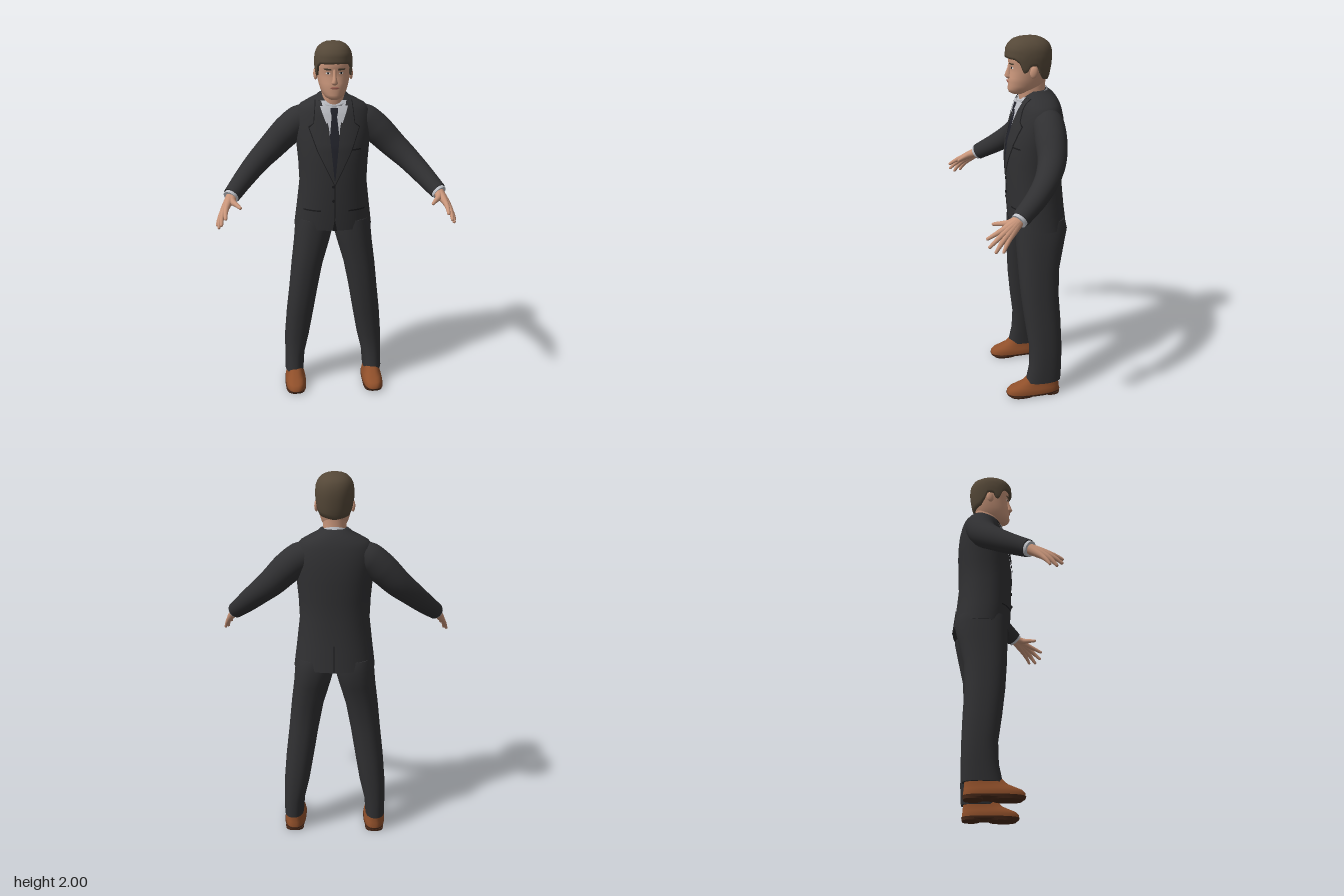
import * as THREE from 'three';

const mat = (name, color, side = THREE.FrontSide) => {
  const m = new THREE.MeshStandardMaterial({ color, side });
  m.name = name;
  return m;
};
const M = {
  suit: mat('suit cloth', 0x303032),
  seam: mat('dark seam', 0x1a1a1c, THREE.DoubleSide),
  shirt: mat('shirt', 0xbfc1c7, THREE.DoubleSide),
  tie: mat('tie', 0x22232b),
  skin: mat('skin', 0xc8957a),
  hair: mat('hair', 0x554838),
  lip: mat('lips', 0xa9685a),
  eye: mat('eye white', 0xd8d4d0),
  shoe: mat('shoe leather', 0x8f4f2a),
  sole: mat('shoe sole', 0x4a2a1a),
};

// Profiles: rows of [y, halfWidth, zFront, zBack], rising in y
const JACKET = [
  [0.98, 0.217, 0.035, -0.275], [1.10, 0.202, 0.045, -0.26], [1.24, 0.186, 0.048, -0.247],
  [1.35, 0.191, 0.048, -0.25], [1.45, 0.2, 0.04, -0.255], [1.52, 0.206, 0.023, -0.254],
  [1.58, 0.207, 0.006, -0.249], [1.63, 0.198, -0.008, -0.238], [1.66, 0.175, -0.02, -0.228],
  [1.685, 0.13, -0.032, -0.214], [1.705, 0.09, -0.045, -0.198], [1.72, 0.074, -0.06, -0.178]];
const HEAD = [
  [1.702, 0.028, 0.018, -0.10], [1.712, 0.045, 0.034, -0.12], [1.73, 0.06, 0.041, -0.14],
  [1.748, 0.069, 0.036, -0.15], [1.77, 0.076, 0.041, -0.16], [1.79, 0.081, 0.035, -0.167],
  [1.82, 0.087, 0.031, -0.172], [1.845, 0.09, 0.027, -0.175], [1.868, 0.091, 0.036, -0.175],
  [1.90, 0.091, 0.036, -0.175], [1.94, 0.085, 0.025, -0.165], [1.97, 0.055, -0.01, -0.13]];
const HAIR = [
  [1.76, 0.08, 0.04, -0.165], [1.80, 0.092, 0.045, -0.18], [1.85, 0.099, 0.05, -0.189],
  [1.90, 0.102, 0.054, -0.194], [1.94, 0.097, 0.05, -0.189], [1.965, 0.085, 0.036, -0.175],
  [1.985, 0.064, 0.012, -0.148], [1.995, 0.042, -0.02, -0.12], [2.0, 0.012, -0.055, -0.08]];

// Linear lookup in a table sorted by its first column
function lookup(table, k) {
  let i = 0;
  while (i < table.length - 2 && k > table[i + 1][0]) i++;
  const [a, b] = [table[i], table[i + 1]];
  const t = THREE.MathUtils.clamp((k - a[0]) / (b[0] - a[0]), 0, 1);
  return a.map((v, n) => v + (b[n] - v) * t);
}
const spow = (v, p) => Math.sign(v) * Math.abs(v) ** p;
function ringPoint([, hw, zf, zb], y, a, cx = 0, e = 2.2) {
  return [cx + hw * spow(Math.sin(a), 2 / e), y, (zf + zb) / 2 + ((zf - zb) / 2) * spow(Math.cos(a), 2 / e)];
}

// Surface through closed rings, with flat caps
function skinRings(rings, caps = true) {
  const n = rings[0].length, pos = rings.flat(2), idx = [];
  for (let i = 0; i < rings.length - 1; i++)
    for (let j = 0; j < n; j++) {
      const a = i * n + j, b = i * n + (j + 1) % n;
      idx.push(a, b, b + n, a, b + n, a + n);
    }
  if (caps) [rings[0], rings[rings.length - 1]].forEach((ring, top) => {
    const base = pos.length / 3;
    pos.push(...ring.flat(), ...[0, 1, 2].map(k => ring.reduce((s, p) => s + p[k], 0) / n));
    for (let j = 0; j < n; j++) {
      const a = base + j, b = base + (j + 1) % n;
      idx.push(base + n, top ? a : b, top ? b : a);
    }
  });
  return toGeometry(pos, idx);
}
function toGeometry(pos, idx) {
  const g = new THREE.BufferGeometry();
  g.setAttribute('position', new THREE.Float32BufferAttribute(pos, 3));
  g.setIndex(idx);
  g.computeVertexNormals();
  return g;
}
const angles = n => Array.from({ length: n }, (_, j) => (j / n) * Math.PI * 2);

// Upright loft; tilt lowers or raises the front of each ring
const loft = (rows, { cx = 0, e = 2.2, tilt = 0, n = 48, caps = true } = {}) =>
  skinRings(rows.map(r => angles(n).map(a =>
    ringPoint(r, r[0] + tilt * Math.cos(a), a, r[4] ?? cx, e))), caps);

// Round limb through [x, y, z, radius] points; s mirrors it
function limb(points, s, steps = 24, n = 20) {
  const path = new THREE.CatmullRomCurve3(points.map(p => new THREE.Vector3(p[0] * s, p[1], p[2])));
  const rings = [];
  for (let i = 0; i <= steps; i++) {
    const t = i / steps, c = path.getPoint(t), T = path.getTangent(t);
    const f = t * (points.length - 1), k = Math.min(Math.floor(f), points.length - 2);
    const r = THREE.MathUtils.lerp(points[k][3], points[k + 1][3], f - k);
    const N = T.clone().cross(new THREE.Vector3(0, 1, 0)).normalize(), B = T.clone().cross(N);
    rings.push(angles(n).map(a => c.clone().addScaledVector(N, r * Math.cos(a))
      .addScaledVector(B, r * Math.sin(a)).toArray()));
  }
  return skinRings(rings);
}

// Thin plate on the front of a profile; rows of [y, x0, x1], rising in y
function plate(profile, rows, lift, s = 1, cols = 8) {
  const pos = [], idx = [], fine = [];
  rows.slice(0, -1).forEach((r, i) => {
    for (let k = 0; k < 6; k++) fine.push(r.map((v, m) => v + (rows[i + 1][m] - v) * k / 6));
  });
  fine.push(rows[rows.length - 1]);
  fine.forEach(([y, p, q], i) => {
    const [x0, x1] = s > 0 ? [p, q] : [-q, -p];
    const [, hw, zf, zb] = lookup(profile, y);
    for (let j = 0; j <= cols; j++) {
      const x = x0 + (x1 - x0) * j / cols;
      const d = Math.max(0, 1 - Math.abs(x / hw) ** 2.2) ** (1 / 2.2);
      pos.push(x, y, (zf + zb) / 2 + (zf - zb) / 2 * d + lift);
      if (i && j) {
        const b = pos.length / 3 - 1, a = b - cols - 1;
        idx.push(a - 1, a, b, a - 1, b, b - 1);
      }
    }
  });
  return toGeometry(pos, idx);
}

export function createModel() {
  const model = new THREE.Group();
  model.name = 'man in suit';
  const add = (name, geo, m) => {
    const mesh = new THREE.Mesh(geo, m);
    mesh.name = name;
    model.add(mesh);
    return mesh;
  };

  // Head and neck
  add('head', loft(HEAD), M.skin);
  add('neck', loft([[1.62, 0.064, -0.03, -0.17], [1.7, 0.06, -0.018, -0.156], [1.77, 0.062, -0.015, -0.16]]), M.skin);
  add('nose', loft([[1.784, 0.011, 0.044, 0.01], [1.79, 0.017, 0.052, 0.01], [1.798, 0.016, 0.058, 0.01],
    [1.815, 0.011, 0.052, 0.01], [1.84, 0.009, 0.042, 0.01], [1.865, 0.01, 0.036, 0.01]], { e: 2, n: 20 }), M.skin);
  add('lips', plate(HEAD, [[1.762, -0.012, 0.012], [1.769, -0.026, 0.026], [1.776, -0.012, 0.012]], 0.003), M.lip);

  // Hair cap with a fringe, sideburns and a gap above each ear
  const hairline = [[0, 1.895], [0.8, 1.892], [1.05, 1.872], [1.2, 1.825], [1.38, 1.825], [1.5, 1.86],
    [1.75, 1.86], [1.9, 1.82], [2.2, 1.785], [3.15, 1.768]];
  const hairRings = [];
  for (let i = -1; i <= 14; i++)
    hairRings.push(angles(72).map(a => {
      const low = lookup(hairline, Math.min(a, Math.PI * 2 - a))[1];
      const y = low + (2 - low) * Math.sin(Math.max(i, 0) / 14 * Math.PI / 2);
      const p = ringPoint(lookup(HAIR, y), y, a);
      return i < 0 ? [p[0] * 0.82, y + 0.004, -0.07 + (p[2] + 0.07) * 0.82] : p;
    }));
  add('hair', skinRings(hairRings), M.hair);

  // Jacket body, shirt front and tie
  add('jacket', loft(JACKET), M.suit);
  add('shirtFront', plate(JACKET, [[1.4, -0.02, 0.02], [1.57, -0.034, 0.034], [1.69, -0.07, 0.07]], 0.003, 1, 16), M.shirt);
  add('shirtCollar', loft([[1.645, 0.084, -0.012, -0.188], [1.7, 0.07, -0.008, -0.168]], { tilt: -0.033, caps: false }), M.shirt);
  add('tie', plate(JACKET, [[1.27, -0.003, 0.003], [1.4, -0.021, 0.021], [1.5, -0.026, 0.026], [1.615, -0.014, 0.014]], 0.007), M.tie);
  add('tieKnot', plate(JACKET, [[1.608, -0.013, 0.013], [1.64, -0.021, 0.021], [1.655, -0.02, 0.02]], 0.016), M.tie);
  add('frontEdge', plate(JACKET, [[0.98, -0.012, 0.012], [1.04, -0.002, 0.002], [1.25, -0.002, 0.002]], 0.003), M.seam);
  for (const y of [1.155, 1.235]) {
    const b = add('button', new THREE.CylinderGeometry(0.008, 0.008, 0.008, 16), M.seam);
    b.rotation.x = Math.PI / 2;
    b.position.set(-0.008, y, 0.05);
  }
  const vent = add('backVent', new THREE.BoxGeometry(0.006, 0.14, 0.008), M.seam);
  vent.position.set(0, 1.052, -0.266);
  vent.rotation.x = 0.12;
  add('breastPocket', plate(JACKET, [[1.43, 0.085, 0.145], [1.438, 0.085, 0.145]], 0.003), M.seam);

  for (const s of [1, -1]) {
    // Face details and ear
    add('eye', plate(HEAD, [[1.839, 0.028, 0.041], [1.844, 0.021, 0.047], [1.85, 0.028, 0.041]], 0.003, s), M.eye);
    add('iris', plate(HEAD, [[1.839, 0.032, 0.037], [1.844, 0.03, 0.039], [1.85, 0.031, 0.038]], 0.005, s), M.seam);
    add('eyebrow', plate(HEAD, [[1.86, 0.016, 0.05], [1.869, 0.02, 0.058]], 0.003, s), M.hair);
    const ear = add('ear', new THREE.SphereGeometry(1, 20, 14), M.skin);
    ear.scale.set(0.011, 0.032, 0.02);
    ear.position.set(s * 0.094, 1.828, -0.077);
    ear.rotation.set(-0.15, s * -0.25, 0);

    // Collar wing, lapel and hip pocket
    add('collarWing', plate(JACKET, [[1.578, 0.04, 0.044], [1.62, 0.02, 0.06], [1.665, 0.012, 0.075]], 0.012, s), M.shirt);
    add('lapelEdge', plate(JACKET, [[1.245, 0, 0.004], [1.43, 0.02, 0.094], [1.555, 0.032, 0.139], [1.575, 0.037, 0.112], [1.69, 0.07, 0.1]], 0.006, s, 16), M.seam);
    add('lapel', plate(JACKET, [[1.25, 0, 0.002], [1.43, 0.018, 0.089], [1.552, 0.03, 0.133], [1.575, 0.035, 0.108], [1.69, 0.068, 0.096]], 0.009, s, 16), M.suit);
    add('hipPocket', plate(JACKET, [[1.092, 0.075, 0.17], [1.1, 0.075, 0.17]], 0.004, s), M.seam);

    // Sleeve and cuff
    add('sleeve', limb([[0.11, 1.59, -0.135, 0.07], [0.18, 1.565, -0.135, 0.083], [0.25, 1.508, -0.13, 0.083],
      [0.33, 1.43, -0.115, 0.074], [0.41, 1.358, -0.07, 0.064], [0.48, 1.29, 0.0, 0.056],
      [0.553, 1.217, 0.1, 0.046]], s, 36, 28), M.suit);
    add('cuff', limb([[0.54, 1.23, 0.083, 0.04], [0.56, 1.209, 0.112, 0.041]], s, 2), M.shirt);

    // Hand: each finger runs from the wrist, so together they form the palm
    const wrist = [0.553, 1.216, 0.103, 0.029];
    const fingers = {
      indexFinger: [[0.578, 1.178, 0.196, 0.015], [0.582, 1.158, 0.24, 0.011], [0.581, 1.14, 0.272, 0.008]],
      middleFinger: [[0.591, 1.165, 0.193, 0.015], [0.602, 1.133, 0.235, 0.011], [0.604, 1.105, 0.266, 0.008]],
      ringFinger: [[0.601, 1.151, 0.183, 0.015], [0.615, 1.112, 0.217, 0.011], [0.62, 1.082, 0.238, 0.008]],
      littleFinger: [[0.606, 1.14, 0.168, 0.014], [0.622, 1.11, 0.188, 0.01], [0.631, 1.084, 0.202, 0.007]],
      thumb: [[0.548, 1.2, 0.155, 0.018], [0.525, 1.192, 0.195, 0.012], [0.504, 1.184, 0.228, 0.008]],
    };
    for (const [name, pts] of Object.entries(fingers)) {
      const [a, b] = pts.slice(-2);
      const tip = [0, 1, 2].map(k => b[k] + (b[k] - a[k]) * 0.12).concat(0.003);
      add(name, limb([wrist, ...pts, tip], s, 20, 14), M.skin);
    }

    // Trouser leg: rows end with the leg's centre x
    add('trouserLeg', loft([
      [0.085, 0.054, -0.01, -0.21, 0.23], [0.18, 0.057, -0.03, -0.215, 0.226], [0.3, 0.07, -0.033, -0.217, 0.211],
      [0.45, 0.077, -0.012, -0.213, 0.192], [0.6, 0.081, 0.005, -0.205, 0.171], [0.75, 0.088, 0.015, -0.212, 0.149],
      [0.88, 0.099, 0.02, -0.242, 0.122], [0.97, 0.107, 0.022, -0.262, 0.106], [1.03, 0.1, 0.02, -0.25, 0.1],
    ].map(r => [...r.slice(0, 4), r[4] * s]), { e: 2.3 }), M.suit);

    // Shoe
    const foot = { cx: s * 0.226, e: 2.6 };
    add('shoe', loft([[0.018, 0.057, 0.1, -0.203], [0.035, 0.058, 0.099, -0.203], [0.05, 0.054, 0.085, -0.201],
      [0.062, 0.05, 0.055, -0.2], [0.078, 0.046, 0.015, -0.199], [0.11, 0.042, -0.02, -0.197]], foot), M.shoe);
    add('sole', loft([[0.009, 0.058, 0.098, -0.204], [0.02, 0.061, 0.103, -0.207]], foot), M.sole);
    add('heel', loft([[0, 0.05, -0.11, -0.203], [0.012, 0.052, -0.105, -0.205]], foot), M.sole);
    add('forefoot', loft([[0, 0.054, 0.085, -0.06], [0.012, 0.058, 0.097, -0.075]], foot), M.sole);
  }
  return model;
}
